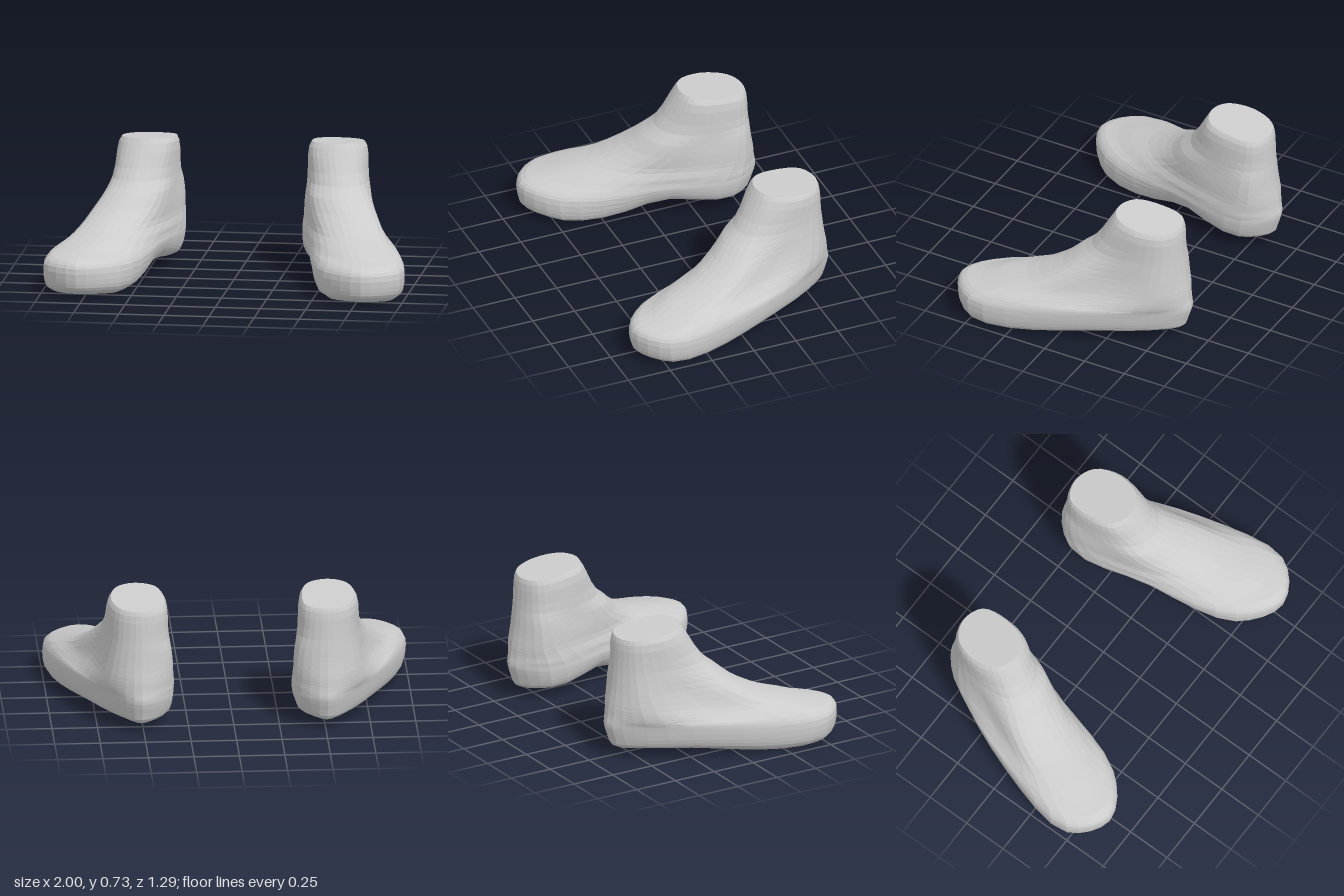
import * as THREE from 'three';

const SEGS = 32, STEPS = 28;

// Horizontal outlines of the left foot, sole to ankle:
// y, back z, front z, front x, inner x (heel, mid, toe), outer x (heel, mid, toe)
const LEVELS = [
  [0.00, -0.57, 0.58, 0.79, 0.41, 0.53, 0.60, 0.62, 0.83, 0.93],
  [0.03, -0.61, 0.625, 0.79, 0.365, 0.46, 0.57, 0.66, 0.88, 0.97],
  [0.08, -0.625, 0.64, 0.79, 0.345, 0.43, 0.56, 0.675, 0.90, 0.985],
  [0.16, -0.645, 0.642, 0.79, 0.335, 0.41, 0.565, 0.68, 0.905, 0.985],
  [0.195, -0.645, 0.615, 0.79, 0.335, 0.41, 0.58, 0.685, 0.895, 0.965],
  [0.22, -0.64, 0.52, 0.78, 0.335, 0.40, 0.575, 0.69, 0.86, 0.94],
  [0.255, -0.635, 0.41, 0.74, 0.34, 0.385, 0.56, 0.69, 0.82, 0.88],
  [0.30, -0.63, 0.25, 0.69, 0.345, 0.375, 0.52, 0.68, 0.775, 0.83],
  [0.38, -0.615, 0.09, 0.64, 0.35, 0.36, 0.46, 0.665, 0.735, 0.77],
  [0.46, -0.605, -0.005, 0.58, 0.36, 0.36, 0.43, 0.65, 0.715, 0.71],
  [0.53, -0.597, -0.085, 0.56, 0.38, 0.36, 0.43, 0.64, 0.70, 0.675],
  [0.70, -0.585, -0.185, 0.53, 0.39, 0.365, 0.405, 0.63, 0.687, 0.645],
  [0.735, -0.575, -0.205, 0.53, 0.40, 0.38, 0.42, 0.62, 0.67, 0.63],
];

// Closed outline at one level, sampled from eight control points
function outline([y, zb, zf, xf, ih, im, it, oh, om, ot]) {
  const at = (x, u) => new THREE.Vector3(x, y, THREE.MathUtils.lerp(zb, zf, u));
  const curve = new THREE.CatmullRomCurve3([
    at(0.51, 0), at(ih, 0.12), at(im, 0.5), at(it, 0.88),
    at(xf, 1), at(ot, 0.88), at(om, 0.5), at(oh, 0.12),
  ], true);
  return Array.from({ length: SEGS }, (_, j) => curve.getPoint(j / SEGS));
}

// Raises the heel, inner arch and toe tip of the sole, and tilts the ankle top
function bend(p) {
  const { smoothstep, clamp } = THREE.MathUtils;
  const heel = 0.045 * (1 - smoothstep(p.z, -0.3, 0.25));
  const arch = 0.06 * Math.exp(-(((p.z + 0.05) / 0.2) ** 2)) * clamp((0.62 - p.x) / 0.2, 0, 1);
  const toe = 0.02 * smoothstep(p.z, 0.4, 0.64);
  const low = Math.max(0, 1 - p.y / 0.25);
  const high = Math.max(0, (p.y - 0.5) / 0.235);
  p.y += low * (heel + arch + toe) + high * 0.11 * (p.z + 0.2);
  return p;
}

// Shrinks a ring toward its middle, for closing the sole and ankle
function shrink(ring, s) {
  const mid = ring.reduce((m, p) => m.add(p), new THREE.Vector3()).divideScalar(SEGS);
  return ring.map((p) => p.clone().lerp(mid, 1 - s));
}

function footGeometry(side) {
  // Smooth the levels along each column
  const loops = LEVELS.map(outline);
  const columns = loops[0].map((_, j) => new THREE.CatmullRomCurve3(loops.map((l) => l[j])));
  const body = Array.from({ length: STEPS + 1 }, (_, i) => columns.map((c) => c.getPoint(i / STEPS)));
  const rings = [
    ...[0, 0.35, 0.7].map((s) => shrink(body[0], s)),
    ...body,
    ...[0.9, 0].map((s) => shrink(body[STEPS], s)),
  ];

  const positions = [], index = [];
  for (const ring of rings) {
    for (const p of ring) {
      bend(p);
      positions.push(p.x * side, p.y, p.z);
    }
  }
  for (let i = 0; i < rings.length - 1; i++) {
    for (let j = 0; j < SEGS; j++) {
      const k = (j + 1) % SEGS;
      const a = i * SEGS + j, b = i * SEGS + k, c = b + SEGS, d = a + SEGS;
      const tris = [];
      if (i > 0) tris.push([a, b, c]);
      else tris.push([a, c, d]);
      if (i > 0 && i < rings.length - 2) tris.push([a, c, d]);
      for (const [p, q, r] of tris) index.push(...(side > 0 ? [p, q, r] : [p, r, q]));
    }
  }
  const geometry = new THREE.BufferGeometry();
  geometry.setAttribute('position', new THREE.Float32BufferAttribute(positions, 3));
  geometry.setIndex(index);
  geometry.computeVertexNormals();
  return geometry;
}

export function createModel() {
  const group = new THREE.Group();
  group.name = 'feet';
  const material = new THREE.MeshStandardMaterial({ color: 0xcccccc, flatShading: true });
  for (const [name, side] of [['leftFoot', 1], ['rightFoot', -1]]) {
    const foot = new THREE.Mesh(footGeometry(side), material);
    foot.name = name;
    group.add(foot);
  }
  return group;
}
